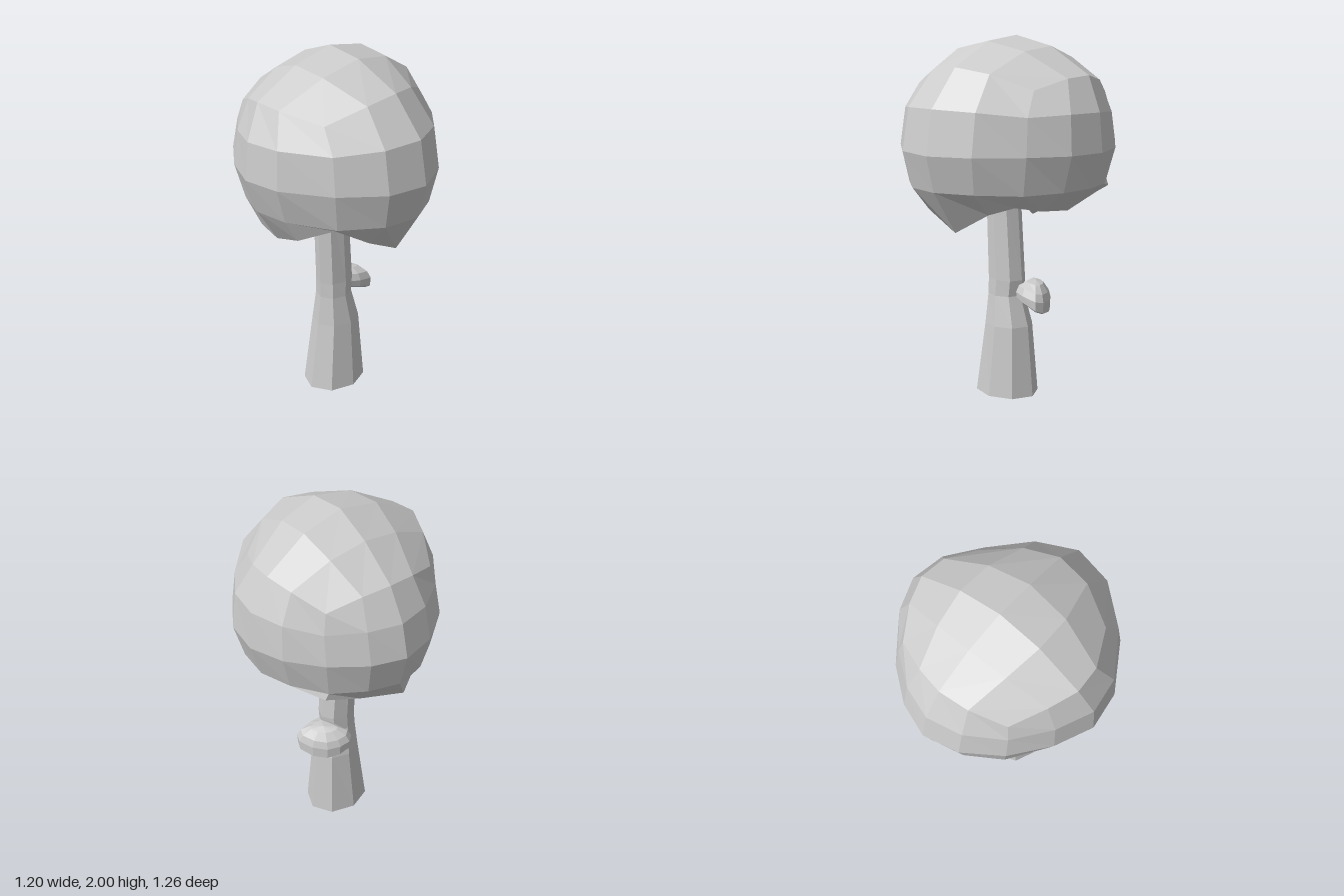
import * as THREE from 'three';

const material = new THREE.MeshStandardMaterial({ color: 0xcccccc, flatShading: true, side: THREE.DoubleSide });

function meshFromTriangles(name, triangles) {
  const geometry = new THREE.BufferGeometry().setFromPoints(triangles);
  geometry.computeVertexNormals();
  const mesh = new THREE.Mesh(geometry, material);
  mesh.name = name;
  return mesh;
}

// Loops run clockwise seen from above; quads join each loop to the next,
// and a loop whose points coincide closes an end as a fan.
function joinRings(rings) {
  const out = [];
  for (let r = 0; r + 1 < rings.length; r++) {
    const lo = rings[r], up = rings[r + 1], n = lo.length;
    for (let i = 0; i < n; i++) {
      const k = (i + 1) % n;
      if (!up[i].equals(up[k])) out.push(lo[i], up[i], up[k]);
      if (!lo[i].equals(lo[k])) out.push(lo[i], up[k], lo[k]);
    }
  }
  return out;
}

// Widest loop of the crown (x, z), starting at the front corner on -x
const EQUATOR = [
  [-0.43, 0.40], [-0.58, 0.14], [-0.60, -0.07], [-0.50, -0.27],
  [-0.34, -0.46], [-0.14, -0.59], [0.06, -0.63], [0.24, -0.56],
  [0.41, -0.42], [0.54, -0.24], [0.595, -0.05], [0.55, 0.15],
  [0.41, 0.34], [0.21, 0.53], [-0.01, 0.63], [-0.23, 0.58],
];

// Ragged lower rim of the crown (x, y, z)
const RIM = [
  [-0.38, 1.20, 0.35], [-0.45, 1.10, 0.15], [-0.41, 1.03, -0.05], [-0.38, 1.05, -0.20],
  [-0.30, 1.07, -0.33], [-0.23, 1.01, -0.38], [-0.16, 0.94, -0.40], [0.20, 1.12, -0.44],
  [0.39, 1.18, -0.39], [0.42, 1.17, -0.25], [0.38, 1.09, -0.04], [0.36, 1.11, 0.15],
  [0.29, 1.14, 0.29], [0.18, 1.10, 0.37], [0.00, 0.99, 0.43], [-0.20, 1.09, 0.42],
];

function makeCrown() {
  // 1 at the four corners of the loop, 0 at the middle of each side
  const corner = (i) => (Math.abs((i % 4) - 2) / 2) ** 2;
  const ring = (y, dy, sx, sz, ds, tilt = 0, shift = 0) => EQUATOR.map(([x, z], i) => {
    const c = corner(i);
    return new THREE.Vector3(x * (sx + ds * c), y + dy * c + tilt * z, z * (sz + ds * c) + shift);
  });
  const rim = RIM.map((p) => new THREE.Vector3(...p));
  const hub = new THREE.Vector3(-0.02, 1.16, -0.01);
  const hollow = rim.map((p) => p.clone().lerp(hub, 0.5).setY(1.135 + (p.y - 1.1) * 0.3));
  const top = ring(1.815, -0.09, 0.815, 0.71, 0.09, 0.065, -0.035);

  const triangles = joinRings([
    rim.map(() => hub), hollow, rim,
    ring(1.225, -0.01, 0.89, 0.92, 0.02),
    ring(1.42, 0, 1, 1, 0),
    ring(1.63, -0.025, 0.97, 0.93, 0, 0.04),
    top,
  ]);

  // Domed 4 x 4 patch closing the top, blended from its border
  const U = [0, 0.22, 0.48, 0.76, 1], V = [0, 0.26, 0.54, 0.81, 1];
  const point = (i, j) => {
    const u = U[i], v = V[j];
    const p = new THREE.Vector3()
      .addScaledVector(top[j], 1 - u).addScaledVector(top[12 - j], u)
      .addScaledVector(top[(16 - i) % 16], 1 - v).addScaledVector(top[4 + i], v)
      .addScaledVector(top[0], -(1 - u) * (1 - v)).addScaledVector(top[12], -u * (1 - v))
      .addScaledVector(top[4], -(1 - u) * v).addScaledVector(top[8], -u * v);
    p.y += 0.1 * 16 * u * (1 - u) * v * (1 - v);
    return p;
  };
  for (let i = 0; i < 4; i++) {
    for (let j = 0; j < 4; j++) {
      const a = point(i, j), b = point(i + 1, j), c = point(i + 1, j + 1), d = point(i, j + 1);
      triangles.push(a, b, c, a, c, d);
    }
  }
  return meshFromTriangles('crown', triangles);
}

// Eight-sided trunk with a flared foot: [y, centre x, centre z, radius x, radius z]
function makeTrunk() {
  const sections = [
    [0, -0.02, -0.01, 0.188, 0.157],
    [0.4, -0.008, -0.01, 0.14, 0.122],
    [0.57, -0.025, -0.008, 0.105, 0.094],
    [0.66, -0.02, -0.008, 0.11, 0.092],
    [1.19, -0.048, -0.01, 0.098, 0.09],
  ];
  const rings = sections.map(([y, cx, cz, rx, rz]) => Array.from({ length: 8 }, (_, i) => {
    const a = (i / 8) * Math.PI * 2;
    return new THREE.Vector3(cx + rx * Math.cos(a), y, cz + rz * Math.sin(a));
  }));
  const foot = new THREE.Vector3(-0.02, 0, -0.01);
  return meshFromTriangles('trunk', joinRings([rings[0].map(() => foot), ...rings]));
}

// Shelf fungus wrapping the back of the trunk: a lopsided outline (x, z) stacked into a dome
function makeFungus() {
  const outline = [
    [0.08, 0.03], [0.04, -0.08], [0.015, -0.175], [0.05, -0.20], [0.11, -0.19],
    [0.175, -0.155], [0.225, -0.085], [0.25, 0.00], [0.23, 0.045], [0.14, 0.048],
  ];
  // [scale, height at the trunk, height at the outer edge]
  const layers = [
    [0, 0.54, 0.515], [0.8, 0.56, 0.485], [0.97, 0.57, 0.50], [1, 0.60, 0.56],
    [0.86, 0.64, 0.60], [0.5, 0.66, 0.64], [0, 0.662, 0.655],
  ];
  const rings = layers.map(([s, near, far]) => outline.map(([x, z]) => {
    const px = 0.135 + (x - 0.135) * s, pz = -0.075 + (z + 0.075) * s;
    return new THREE.Vector3(px, THREE.MathUtils.mapLinear(px - 0.65 * pz, 0.06, 0.25, near, far), pz);
  }));
  return meshFromTriangles('shelfFungus', joinRings(rings));
}

export function createModel() {
  const group = new THREE.Group();
  group.name = 'tree';
  group.add(makeCrown(), makeTrunk(), makeFungus());
  return group;
}
